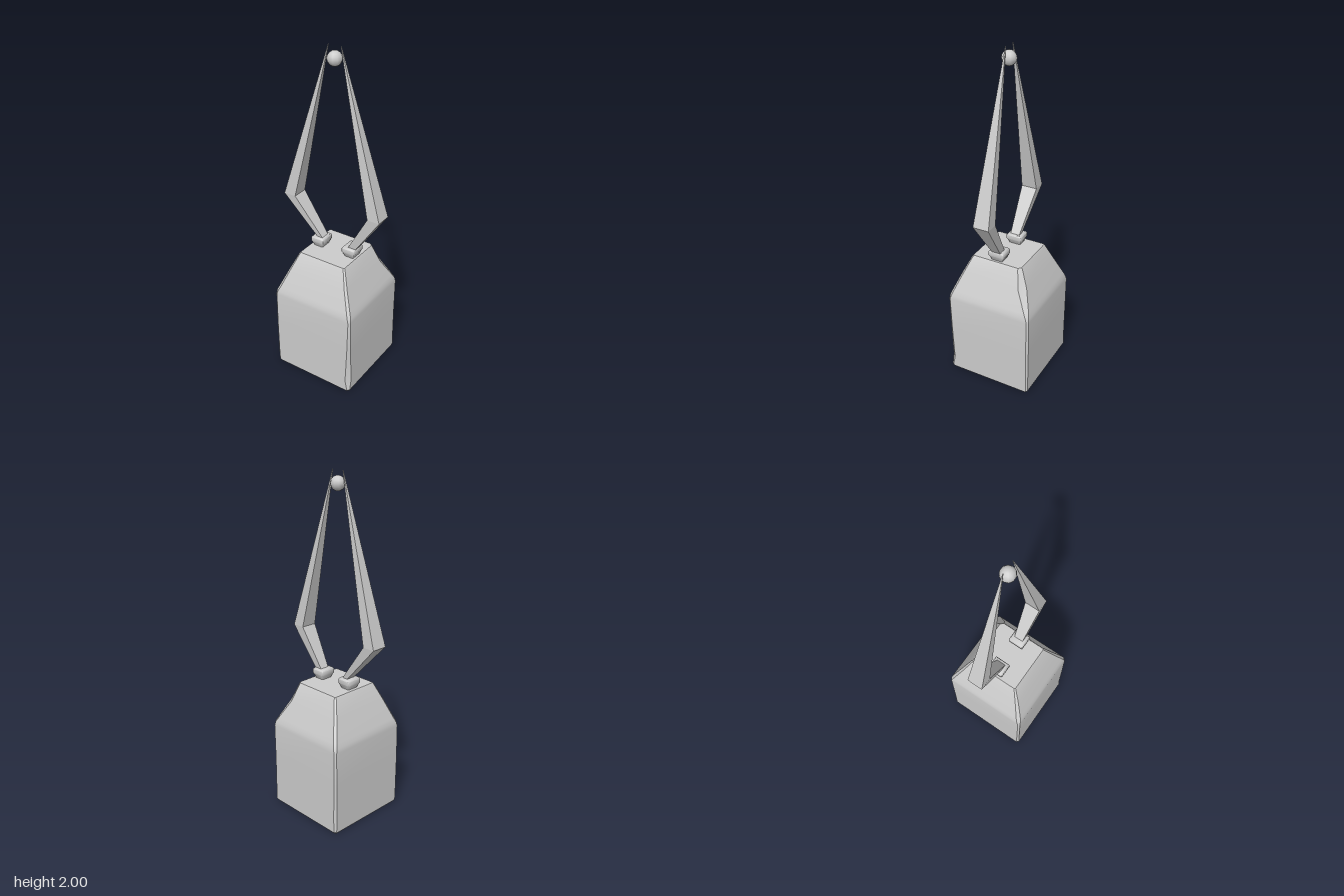
import * as THREE from 'three';
import { toCreasedNormals } from 'three/addons/utils/BufferGeometryUtils.js';

const grey = new THREE.MeshStandardMaterial({ color: 0xcccccc, side: THREE.DoubleSide });

// Skins a stack of rings, each a list of [x, y, z] running +x, -z, -x, +z.
function loft(rings, crease, { capTop = false, capBottom = false } = {}) {
  const n = rings[0].length;
  const index = [];
  for (let r = 0; r < rings.length - 1; r++) {
    for (let i = 0; i < n; i++) {
      const a = r * n + i, b = r * n + (i + 1) % n;
      index.push(a, b, b + n, a, b + n, a + n);
    }
  }
  const top = (rings.length - 1) * n;
  for (let i = 1; i < n - 1; i++) {
    if (capTop) index.push(top, top + i, top + i + 1);
    if (capBottom) index.push(0, i + 1, i);
  }
  const geometry = new THREE.BufferGeometry();
  geometry.setAttribute('position', new THREE.Float32BufferAttribute(rings.flat(2), 3));
  geometry.setIndex(index);
  return toCreasedNormals(geometry, crease);
}

// Rectangle with cut corners; cuts are back left, back right, front right, front left.
function cutRectangle(y, x0, x1, z0, z1, [a, b, c, d]) {
  return [
    [x1, y, z0 + a], [x1 - a, y, z0],
    [x0 + b, y, z0], [x0, y, z0 + b],
    [x0, y, z1 - c], [x0 + c, y, z1],
    [x1 - d, y, z1], [x1, y, z1 - d],
  ];
}

function addMesh(parent, name, geometry) {
  const mesh = new THREE.Mesh(geometry, grey);
  mesh.name = name;
  parent.add(mesh);
  return mesh;
}

export function createModel() {
  const group = new THREE.Group();
  group.name = 'prongedPillar';

  // Stone block, open underneath, with worn corners and a tapered top
  const levels = [
    [0, -0.247, 0.268, -0.257, 0.256, [0.01, 0.01, 0.012, 0.012]],
    [0.012, -0.253, 0.274, -0.264, 0.262, [0.008, 0.01, 0.014, 0.012]],
    [0.08, -0.253, 0.274, -0.264, 0.262, [0.01, 0.014, 0.012, 0.026]],
    [0.3, -0.253, 0.274, -0.264, 0.262, [0.012, 0.012, 0.01, 0.016]],
    [0.515, -0.253, 0.274, -0.264, 0.262, [0.01, 0.01, 0.012, 0.01]],
    [0.54, -0.25, 0.271, -0.261, 0.259, [0.014, 0.014, 0.016, 0.014]],
    [0.57, -0.238, 0.259, -0.25, 0.248, [0.02, 0.014, 0.018, 0.014]],
    [0.68, -0.192, 0.212, -0.204, 0.204, [0.036, 0.012, 0.014, 0.012]],
    [0.78, -0.149, 0.17, -0.163, 0.159, [0.02, 0.008, 0.008, 0.008]],
    [0.79, -0.142, 0.163, -0.156, 0.152, [0.016, 0.006, 0.006, 0.006]],
  ];
  addMesh(group, 'block', loft(levels.map((l) => cutRectangle(...l)), 0.42, { capTop: true }));

  // Sockets: small rounded cups that widen upwards
  const socketSteps = [
    [0.785, 0.028, 0.034], [0.8, 0.032, 0.038], [0.82, 0.042, 0.048],
    [0.843, 0.042, 0.048], [0.851, 0.036, 0.042],
  ];
  // Prongs: [y, outer x, inner x, z half-width] at foot, elbow and tip
  const elbow = [1.083, 0.32, 0.244, 0.048];
  const tip = [2.0, 0.04, 0.037, 0.0015];
  const sides = [
    { side: 'left', sign: 1, socketX: 0.12, foot: [0.845, 0.157, 0.108, 0.028] },
    { side: 'right', sign: -1, socketX: -0.093, foot: [0.845, 0.1, 0.064, 0.028] },
  ];
  const zMid = 0.003;
  for (const { side, sign, socketX, foot } of sides) {
    const cup = socketSteps.map(([y, w, d]) =>
      cutRectangle(y, socketX - w, socketX + w, zMid - d, zMid + d, [0.003, 0.003, 0.003, 0.003]));
    addMesh(group, side + 'Socket', loft(cup, 0.9, { capTop: true, capBottom: true }));

    const rings = [foot, elbow, tip].map(([y, outer, inner, d]) => {
      const hi = Math.max(sign * outer, sign * inner);
      const lo = Math.min(sign * outer, sign * inner);
      return [[hi, y, zMid - d], [lo, y, zMid - d], [lo, y, zMid + d], [hi, y, zMid + d]];
    });
    addMesh(group, side + 'Prong', loft(rings, 0.1, { capTop: true, capBottom: true }));
  }

  // Orb held between the tips
  const orb = addMesh(group, 'orb', new THREE.SphereGeometry(0.042, 10, 8));
  orb.position.set(0, 1.93, zMid);

  return group;
}
